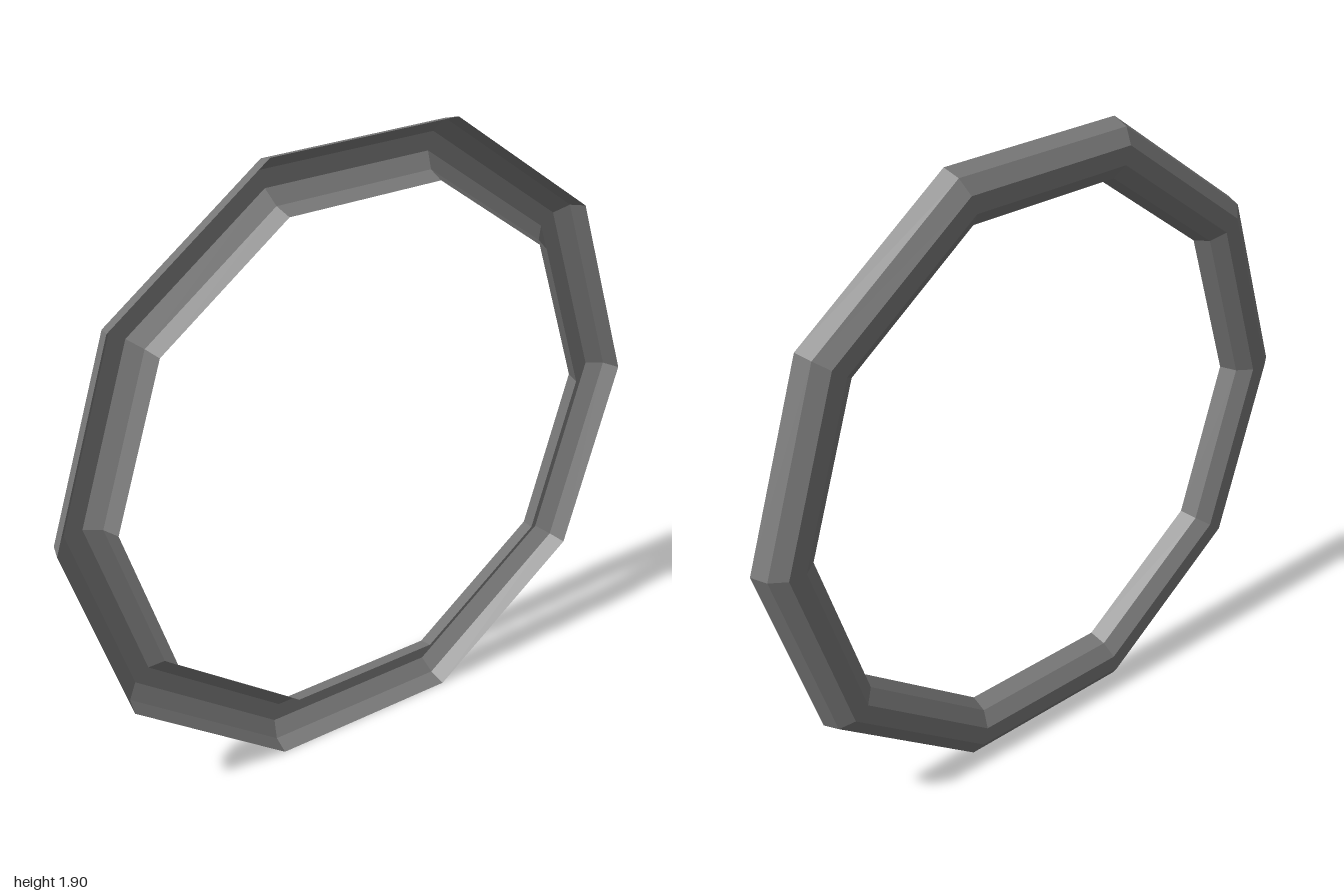
import * as THREE from 'three';

const SIDES = 10;            // corners around the ring
const STEPS = 5;             // facets across the channel
const RING_RADIUS = 1 / 1.1; // centre line of the channel
const TUBE_RADIUS = 0.1 / 1.1;

export function createModel() {
  const group = new THREE.Group();
  group.name = 'ring';

  // Half-round cross-section, open to the front: inner rim, back, outer rim
  const depth = TUBE_RADIUS * Math.sin(Math.PI * 0.4);
  const profile = [];
  for (let i = 0; i <= STEPS; i++) {
    const a = Math.PI * (1 + i / STEPS);
    profile.push(new THREE.Vector2(
      RING_RADIUS + TUBE_RADIUS * Math.cos(a),
      depth / 2 + TUBE_RADIUS * Math.sin(a)
    ));
  }

  // Sweep around ten sides with a corner on +x, then stand it upright facing +z
  const geometry = new THREE.LatheGeometry(profile, SIDES, Math.PI / 2);
  geometry.rotateX(Math.PI / 2);
  geometry.translate(0, Math.cos(Math.PI / SIDES), 0);

  const material = new THREE.MeshStandardMaterial({
    color: 0x787878,
    flatShading: true,
    side: THREE.DoubleSide,
  });
  const channel = new THREE.Mesh(geometry, material);
  channel.name = 'ringChannel';
  group.add(channel);
  return group;
}
